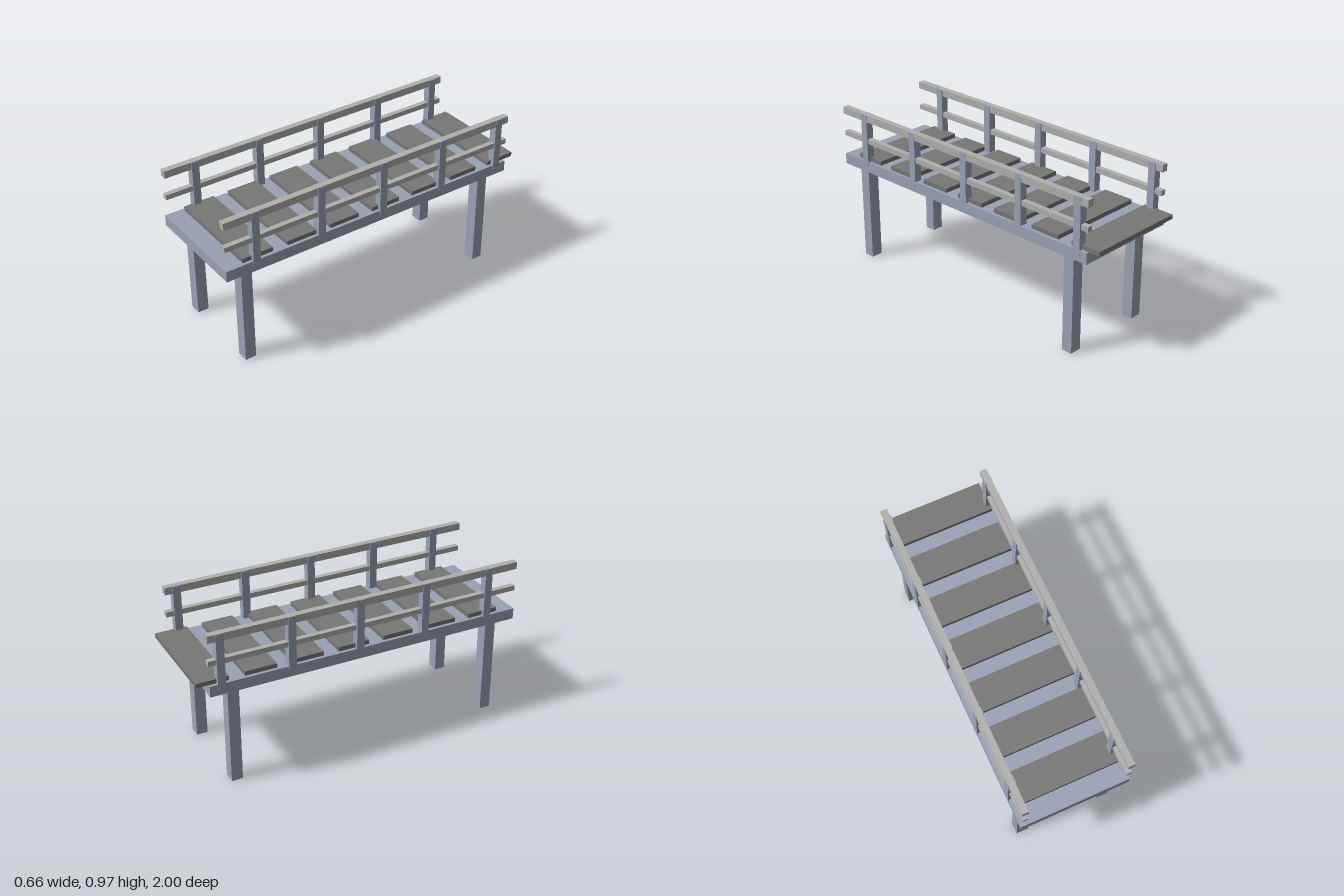
import * as THREE from 'three';

const mat = (color) => new THREE.MeshStandardMaterial({ color, flatShading: true });

export function createModel() {
  const model = new THREE.Group();
  model.name = 'footbridge';
  const frameMat = mat(0x9aa2b4);
  const plankMat = mat(0x777776);
  const railMat = mat(0xb0b0ae);

  // Box given by its size and centre
  const box = (name, material, [w, h, d], [x, y, z]) => {
    const mesh = new THREE.Mesh(new THREE.BoxGeometry(w, h, d), material);
    mesh.name = name;
    mesh.position.set(x, y, z);
    model.add(mesh);
  };

  // Deck slab
  box('deck', frameMat, [0.66, 0.066, 1.93], [0, 0.633, 0.035]);

  // Walking planks, the rearmost overhanging the deck
  for (let i = 0; i < 7; i++) {
    box('plank', plankMat, [0.62, 0.026, 0.19], [0, 0.679, -0.905 + i * 0.283]);
  }

  for (const side of [-1, 1]) {
    const name = side > 0 ? 'left' : 'right';

    // Legs
    for (const z of [0.862, -0.786]) {
      box(name + 'Leg', frameMat, [0.073, 0.602, 0.067], [side * 0.263, 0.301, z]);
    }

    // Railing posts, let slightly into the deck edge
    for (let i = 0; i < 5; i++) {
      box(name + 'Post', frameMat, [0.047, 0.332, 0.046], [side * 0.3088, 0.801, 0.81 - i * 0.4175]);
    }

    // Handrail and middle rail
    box(name + 'Handrail', railMat, [0.039, 0.044, 1.93], [side * 0.31, 0.947, 0.035]);
    box(name + 'MiddleRail', railMat, [0.032, 0.031, 1.93], [side * 0.309, 0.8, 0.035]);
  }

  return model;
}
